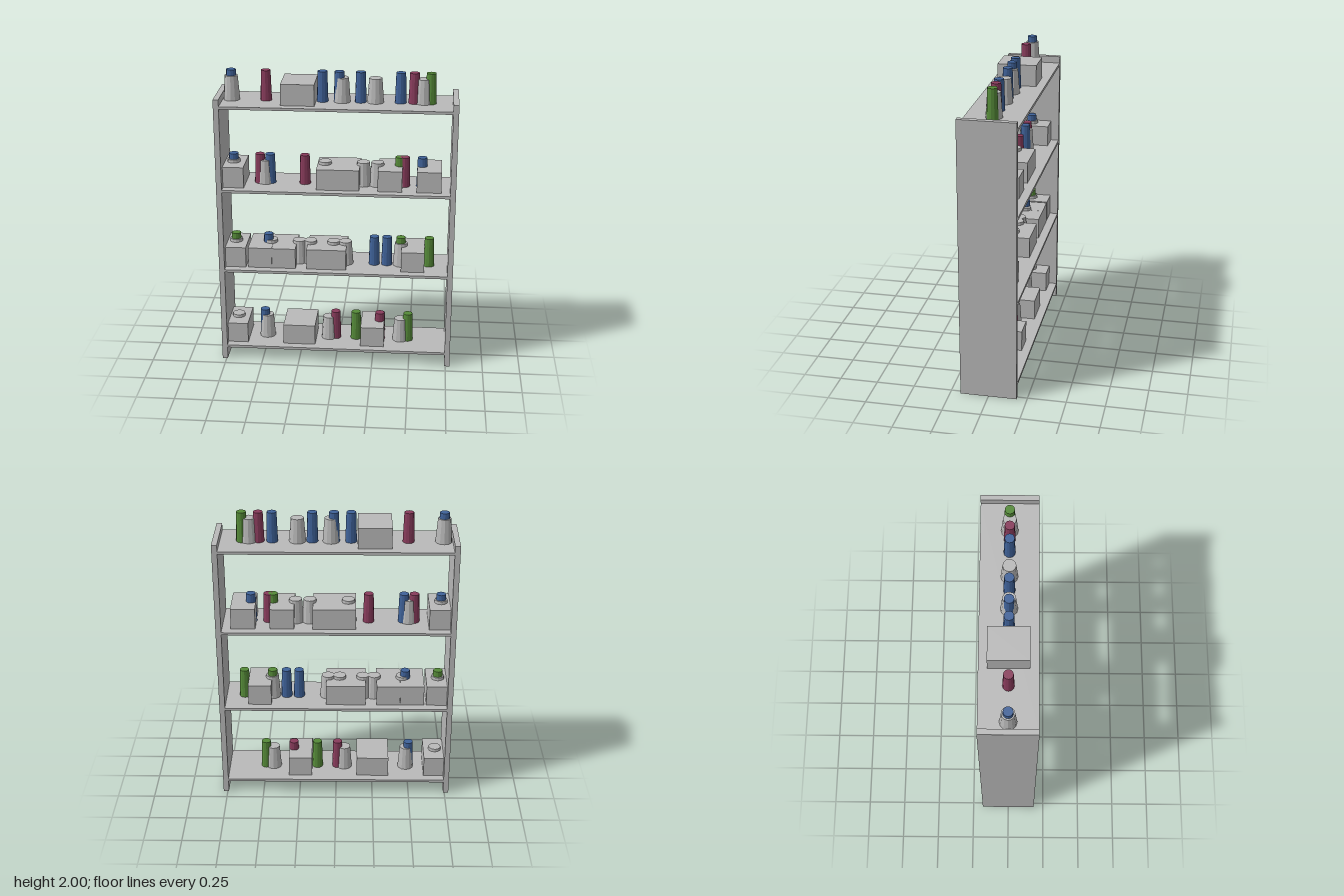
import * as THREE from 'three';

const grey = new THREE.MeshStandardMaterial({ name: 'grey', color: 0xb9b9b9, flatShading: true });
const blue = new THREE.MeshStandardMaterial({ name: 'blue', color: 0x3f6299, flatShading: true });
const magenta = new THREE.MeshStandardMaterial({ name: 'magenta', color: 0x883b5b, flatShading: true });
const green = new THREE.MeshStandardMaterial({ name: 'green', color: 0x558a38, flatShading: true });

const BOX_H = 0.14, BOX_D = 0.257;
const cupGeometry = new THREE.CylinderGeometry(0.042, 0.054, 0.16, 12).translate(0, 0.08, 0);
const bottleGeometry = new THREE.CylinderGeometry(0.031, 0.037, 0.199, 12).translate(0, 0.0995, 0);

// Goods on each shelf: boxes as [left, right], cups as x, bottles as [x, colour]
const shelves = [
  {
    top: 0.102,
    boxes: [[-0.763, -0.605], [-0.36, -0.143], [0.167, 0.325]],
    cups: [-0.684, -0.484, -0.055, 0.436],
    bottles: [[-0.5, blue], [-0.01, magenta], [0.13, green], [0.293, magenta], [0.486, green]],
  },
  {
    top: 0.668,
    boxes: [[-0.763, -0.605], [-0.589, -0.431], [-0.43, -0.272], [-0.198, 0.066], [0.433, 0.588]],
    cups: [-0.684, -0.445, -0.256, -0.18, -0.024, 0.055, 0.43],
    bottles: [[-0.684, green], [-0.464, blue], [0.25, blue], [0.335, blue], [0.428, green], [0.618, green]],
  },
  {
    top: 1.235,
    boxes: [[-0.763, -0.605], [-0.129, 0.151], [0.272, 0.43], [0.525, 0.684]],
    cups: [-0.684, -0.475, -0.08, 0.172, 0.265],
    bottles: [[-0.684, blue], [-0.51, magenta], [-0.443, blue], [-0.213, magenta],
      [0.412, green], [0.443, magenta], [0.557, blue]],
  },
  {
    top: 1.801,
    boxes: [[-0.354, -0.137]],
    cups: [-0.684, 0.032, 0.246, 0.555],
    bottles: [[-0.684, blue], [-0.46, magenta], [-0.095, blue], [0.014, blue], [0.151, blue],
      [0.407, blue], [0.494, magenta], [0.6, green]],
  },
];

function add(parent, name, geometry, material, x, y) {
  const mesh = new THREE.Mesh(geometry, material);
  mesh.name = name;
  mesh.position.set(x, y, 0);
  parent.add(mesh);
}

export function createModel() {
  const model = new THREE.Group();
  model.name = 'stockedShelf';

  // Upright side panels
  for (const s of [-1, 1]) {
    add(model, s > 0 ? 'leftPanel' : 'rightPanel', new THREE.BoxGeometry(0.036, 1.846, 0.367), grey, s * 0.76, 0.923);
  }

  // Shelves with their goods
  shelves.forEach(({ top, boxes, cups, bottles }, i) => {
    const shelf = new THREE.Group();
    shelf.name = `shelf${i + 1}`;
    shelf.position.y = top;
    model.add(shelf);
    add(shelf, 'board', new THREE.BoxGeometry(1.485, 0.018, 0.367), grey, 0, -0.009);
    for (const [a, b] of boxes) {
      add(shelf, 'box', new THREE.BoxGeometry(b - a, BOX_H, BOX_D), grey, (a + b) / 2, BOX_H / 2);
    }
    for (const x of cups) add(shelf, 'cup', cupGeometry, grey, x, 0);
    for (const [x, colour] of bottles) add(shelf, 'bottle', bottleGeometry, colour, x, 0);
  });

  return model;
}
